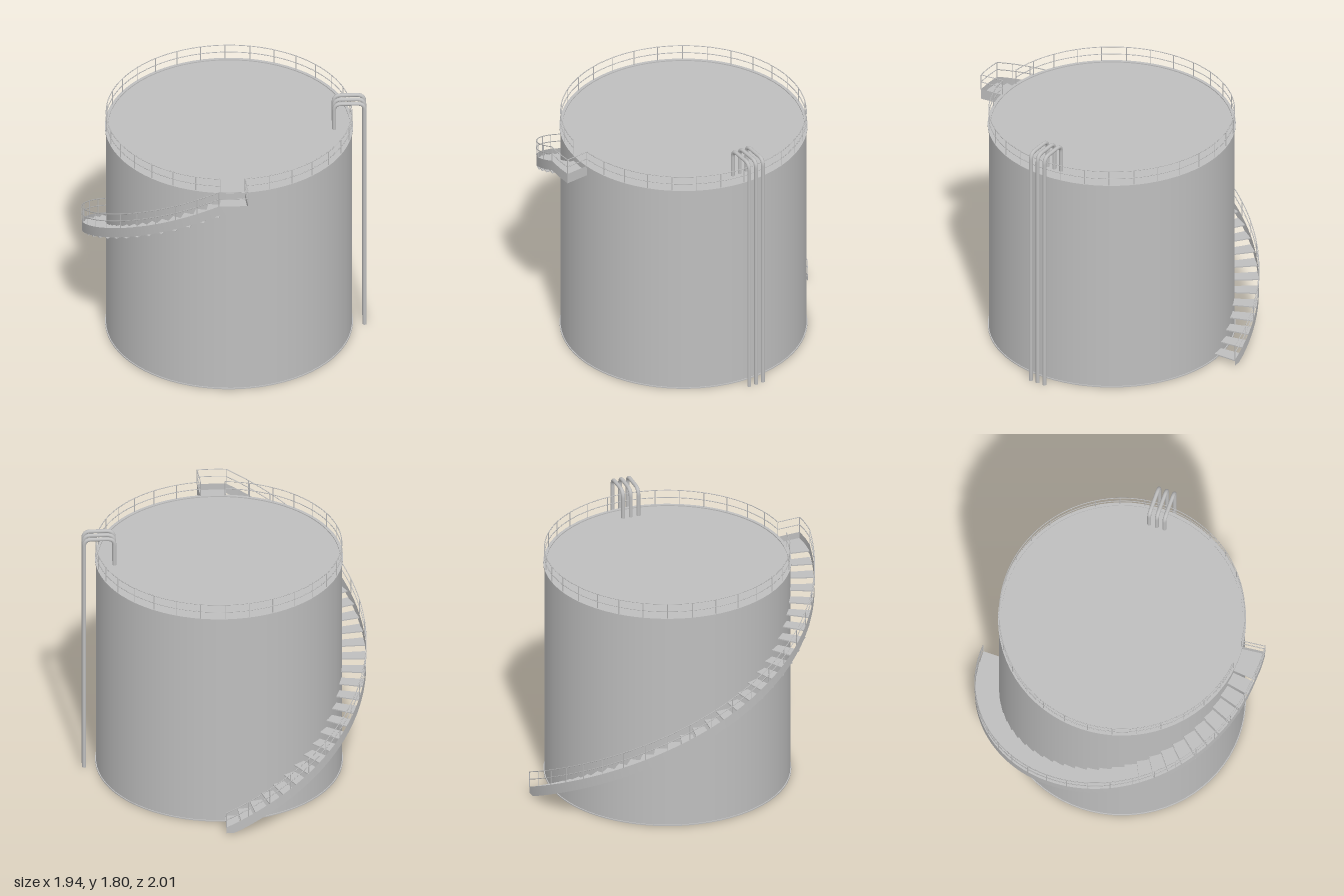
import * as THREE from 'three';

const CX = 0.03, R = 0.835, OUT = 1.0, TOP = 1.585;
const STAIR_END = 174.3, PLAT_END = 185.7, STEPS = 30;
const RAIL = 0.0032;

// Point on the tank axis system: 0 deg = back, 90 deg = right side (-x), 180 deg = front
function polar(deg, r, y) {
  const a = THREE.MathUtils.degToRad(deg);
  return new THREE.Vector3(CX - r * Math.sin(a), y, -r * Math.cos(a));
}

// Underside and top edge of the stair's outer plate
const lowEdge = (deg) => Math.max(0, Math.min(1.51, -0.03 + (1.54 * deg) / STAIR_END));
const highEdge = (deg) => Math.min(TOP, 0.045 + (1.54 * deg) / STAIR_END);

export function createModel() {
  const group = new THREE.Group();
  const steel = new THREE.MeshStandardMaterial({ color: 0xbebebe });
  steel.name = 'steel';
  const sheet = steel.clone();
  sheet.name = 'steelSheet';
  sheet.side = THREE.DoubleSide;

  function add(name, geometry, material = steel, parent = group) {
    const mesh = new THREE.Mesh(geometry, material);
    mesh.name = name;
    parent.add(mesh);
    return mesh;
  }
  function subgroup(name) {
    const g = new THREE.Group();
    g.name = name;
    group.add(g);
    return g;
  }
  // Thin round bar between two points
  function bar(name, a, b, parent) {
    add(name, new THREE.TubeGeometry(new THREE.LineCurve3(a, b), 1, RAIL, 6), steel, parent);
  }
  // Curved rail around the tank, with its height given by a rule
  function rail(name, from, to, r, height, parent) {
    const n = Math.max(3, Math.ceil(Math.abs(to - from) / 5));
    const pts = [];
    for (let i = 0; i <= n; i++) {
      const d = from + ((to - from) * i) / n;
      pts.push(polar(d, r, height(d)));
    }
    add(name, new THREE.TubeGeometry(new THREE.CatmullRomCurve3(pts), n * 2, RAIL, 6), steel, parent);
  }
  // Flat slab in the form of a ring sector
  function sector(name, from, to, r0, r1, y, h, parent) {
    const pts = [];
    const n = Math.ceil((to - from) / 6);
    for (let i = 0; i <= n; i++) pts.push(polar(from + ((to - from) * i) / n, r1, 0));
    for (let i = n; i >= 0; i--) pts.push(polar(from + ((to - from) * i) / n, r0, 0));
    const shape = new THREE.Shape(pts.map((p) => new THREE.Vector2(p.x, -p.z)));
    const geo = new THREE.ExtrudeGeometry(shape, { depth: h, bevelEnabled: false });
    geo.rotateX(-Math.PI / 2);
    geo.translate(0, y, 0);
    add(name, geo, steel, parent);
  }
  // Upright sheet through pairs of low and high points
  function ribbon(name, pairs, parent) {
    const pos = [], idx = [];
    pairs.forEach(([lo, hi], i) => {
      pos.push(...lo.toArray(), ...hi.toArray());
      if (i) {
        const k = i * 2;
        idx.push(k - 2, k, k - 1, k - 1, k, k + 1);
      }
    });
    const geo = new THREE.BufferGeometry();
    geo.setAttribute('position', new THREE.Float32BufferAttribute(pos, 3));
    geo.setIndex(idx);
    geo.computeVertexNormals();
    add(name, geo, sheet, parent);
  }
  // Square-section ring around the tank
  function hoop(name, r0, r1, y0, y1) {
    const profile = [[r0, y0], [r1, y0], [r1, y1], [r0, y1], [r0, y0]];
    for (let i = 0; i < 4; i++) {
      const edge = [profile[i], profile[i + 1]].map((p) => new THREE.Vector2(...p));
      add(name, new THREE.LatheGeometry(edge, 72), sheet).position.x = CX;
    }
  }

  // Tank shell, open below, with a flat roof
  const shell = add('tankShell', new THREE.CylinderGeometry(R, R, TOP, 72, 1, true), sheet);
  shell.position.set(CX, TOP / 2, 0);
  const roof = new THREE.CircleGeometry(R, 72);
  roof.rotateX(-Math.PI / 2);
  add('roof', roof, sheet).position.set(CX, TOP - 0.002, 0);
  hoop('topRim', 0.822, 0.843, TOP - 0.007, TOP + 0.005);
  hoop('baseRim', R, 0.842, 0, 0.008);

  // Roof guard rail, with a gap at the platform
  const guard = subgroup('roofRailing');
  const gapEnd = PLAT_END, gapStart = 360 + STAIR_END;
  for (const y of [1.642, 1.698]) rail('guardRail', gapEnd, gapStart, R, () => y, guard);
  for (let i = 0; i <= 30; i++) {
    const d = gapEnd + ((gapStart - gapEnd) * i) / 30;
    bar('guardPost', polar(d, R, TOP), polar(d, R, 1.698), guard);
  }

  // Spiral stair: treads, outer plate, railing
  const stair = subgroup('spiralStair');
  const stepAngle = STAIR_END / STEPS;
  for (let i = 0; i < STEPS; i++) {
    sector('tread', i * stepAngle, (i + 1) * stepAngle, R - 0.003, OUT - 0.002, 0.033 + i * 0.05, 0.008, stair);
  }
  const plate = [];
  for (let i = 0; i <= STEPS * 2; i++) {
    const d = (i * stepAngle) / 2;
    plate.push([polar(d, OUT, lowEdge(d)), polar(d, OUT, highEdge(d))]);
  }
  for (const d of [180, PLAT_END]) plate.push([polar(d, OUT, 1.51), polar(d, OUT, TOP)]);
  ribbon('outerPlate', plate, stair);
  for (const h of [0.057, 0.113]) {
    rail('stairRail', 0, STAIR_END, OUT, (d) => highEdge(d) + h, stair);
  }
  for (let i = 0; i <= 20; i++) {
    const d = (STAIR_END * i) / 20;
    bar('stairPost', polar(d, OUT, highEdge(d)), polar(d, OUT, highEdge(d) + 0.113), stair);
  }

  // Landing platform at the top of the stair
  const platform = subgroup('landing');
  sector('landingFloor', STAIR_END, PLAT_END, R - 0.003, OUT - 0.002, 1.531, 0.008, platform);
  ribbon('landingEndPlate', [OUT, R].map((r) => [polar(PLAT_END, r, 1.51), polar(PLAT_END, r, TOP)]), platform);
  for (const y of [1.642, 1.698]) {
    rail('landingRail', STAIR_END, PLAT_END, OUT, () => y, platform);
    bar('landingEndRail', polar(PLAT_END, OUT, y), polar(PLAT_END, R, y), platform);
  }
  bar('landingPost', polar(PLAT_END, OUT, TOP), polar(PLAT_END, OUT, 1.698), platform);

  // Three pipes rising beside the tank and bending down onto the roof
  const xo = 0.95, xi = 0.743, yt = 1.785, b = 0.05;
  for (const z of [-0.055, 0, 0.055]) {
    const v = (x, y) => new THREE.Vector3(x, y, z);
    const pieces = [
      [new THREE.LineCurve3(v(xo, 0), v(xo, yt - b)), 1],
      [new THREE.QuadraticBezierCurve3(v(xo, yt - b), v(xo, yt), v(xo - b, yt)), 8],
      [new THREE.LineCurve3(v(xo - b, yt), v(xi + b, yt)), 1],
      [new THREE.QuadraticBezierCurve3(v(xi + b, yt), v(xi, yt), v(xi, yt - b)), 8],
      [new THREE.LineCurve3(v(xi, yt - b), v(xi, TOP - 0.01)), 1],
    ];
    const pipe = subgroup('pipe');
    for (const [curve, n] of pieces) add('pipeSection', new THREE.TubeGeometry(curve, n, 0.0135, 16), steel, pipe);
    const cap = new THREE.CircleGeometry(0.0135, 16);
    cap.rotateX(Math.PI / 2);
    add('pipeEnd', cap, steel, pipe).position.set(xo, 0, z);
  }
  return group;
}
